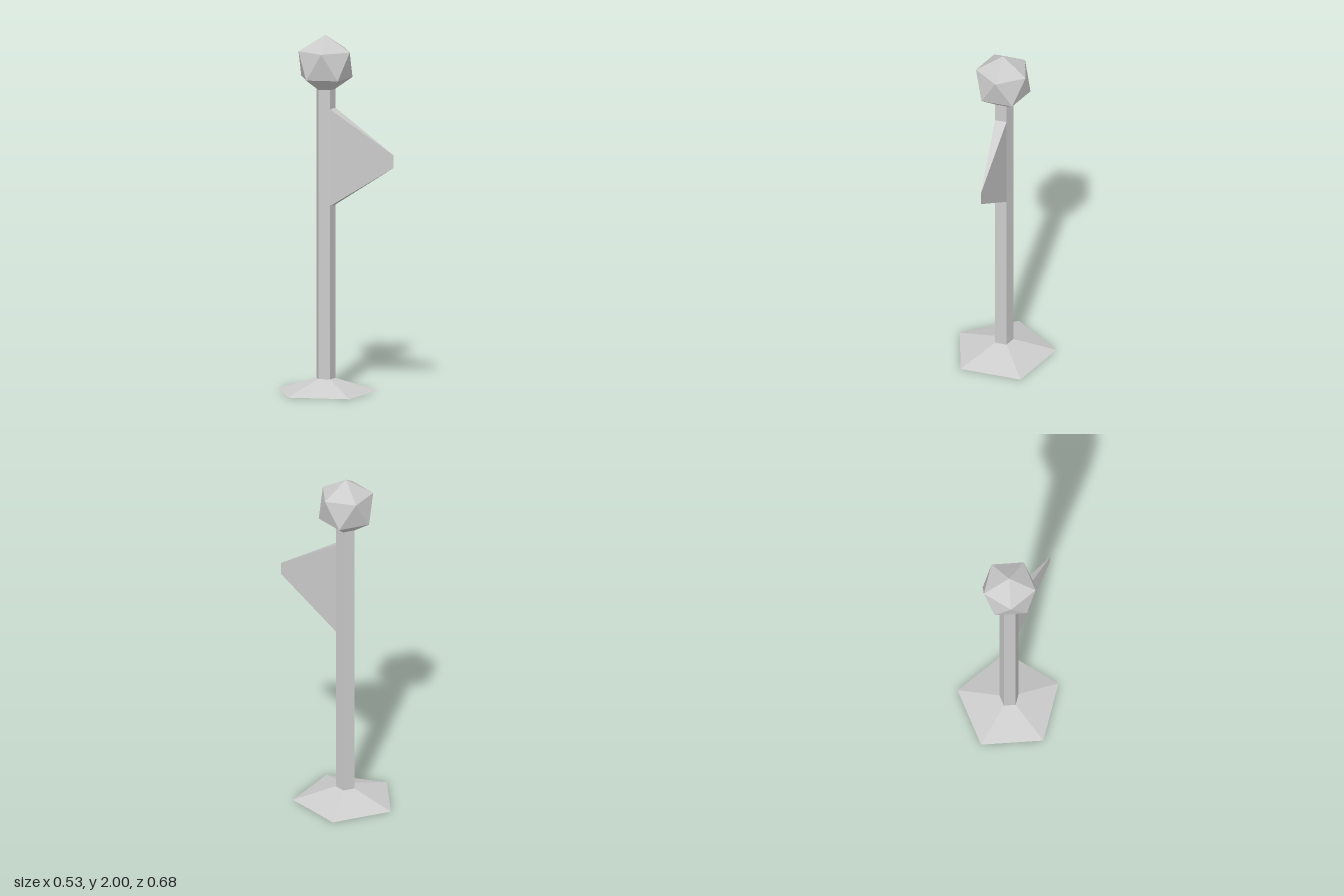
import * as THREE from 'three';

const SIDES = 5;
const STEP = (Math.PI * 2) / SIDES;
const POLE_R = 0.056;

const material = new THREE.MeshStandardMaterial({
  color: 0xcccccc, flatShading: true, side: THREE.DoubleSide,
});

function addMesh(group, name, geometry, y = 0) {
  const mesh = new THREE.Mesh(geometry, material);
  mesh.name = name;
  mesh.position.y = y;
  group.add(mesh);
}

// Point on a five-sided ring; angle 0 points to +x
const ringPoint = (radius, y, angle) =>
  [radius * Math.cos(angle), y, radius * Math.sin(angle)];

// Flat-shaded geometry from polygons, each fanned into triangles
function fromPolygons(polygons) {
  const positions = [];
  for (const p of polygons) {
    for (let i = 1; i < p.length - 1; i++) positions.push(...p[0], ...p[i], ...p[i + 1]);
  }
  const geometry = new THREE.BufferGeometry();
  geometry.setAttribute('position', new THREE.Float32BufferAttribute(positions, 3));
  geometry.computeVertexNormals();
  return geometry;
}

// Open five-sided tube with one corner towards -x
function pentagonTube(top, bottom, height) {
  return new THREE.CylinderGeometry(top, bottom, height, SIDES, 1, true, -Math.PI / 2);
}

// Icosahedron whose lowest point is cut off where it meets the pole
function headGeometry() {
  const neck = (k) => ringPoint(POLE_R, 1.697, Math.PI + k * STEP);
  const lower = (k) => ringPoint(0.151, 1.76, Math.PI + k * STEP);
  const upper = (k) => ringPoint(0.151, 1.911, Math.PI + (k + 0.5) * STEP);
  const apex = [0, 2, 0];
  const polygons = [];
  for (let k = 0; k < SIDES; k++) {
    polygons.push(
      [neck(k + 1), neck(k), lower(k), lower(k + 1)],
      [lower(k + 1), lower(k), upper(k)],
      [upper(k), upper(k + 1), lower(k + 1)],
      [upper(k + 1), upper(k), apex],
    );
  }
  return fromPolygons(polygons);
}

// Wedge growing from one pole face to an upright edge
function flagGeometry() {
  const a = (y) => ringPoint(POLE_R, y, STEP * 1.5);
  const b = (y) => ringPoint(POLE_R, y, STEP * 0.5);
  const tip = (y) => [0.131, y, 0.404];
  const a0 = a(1.048), a1 = a(1.59);
  const b0 = b(1.048), b1 = b(1.59);
  const t0 = tip(1.285), t1 = tip(1.355);
  return fromPolygons([
    [a0, t0, t1, a1],
    [t0, b0, b1, t1],
    [a1, t1, b1],
    [a0, b0, t0],
  ]);
}

export function createModel() {
  const model = new THREE.Group();
  model.name = 'flagPole';

  const post = new THREE.Group();
  post.name = 'post';
  post.position.set(0.028, 0, -0.064);
  model.add(post);

  addMesh(post, 'base', pentagonTube(POLE_R, 0.294, 0.077), 0.0385);
  addMesh(post, 'pole', pentagonTube(POLE_R, POLE_R, 1.62), 0.887);
  addMesh(post, 'head', headGeometry());
  addMesh(post, 'flag', flagGeometry());

  return model;
}
